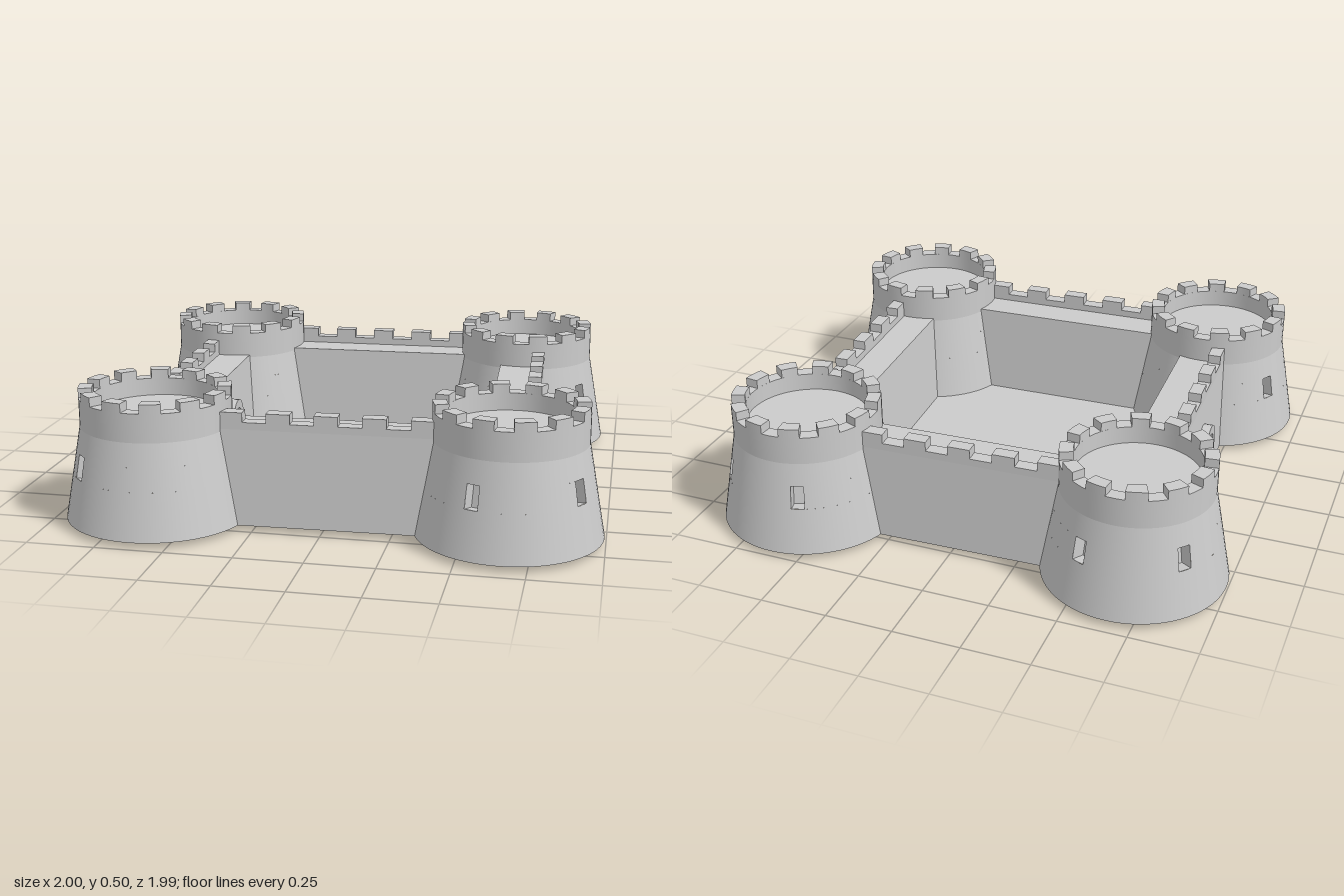
import * as THREE from 'three';

const grey = new THREE.MeshStandardMaterial({ color: 0xcccccc });
const greyDouble = new THREE.MeshStandardMaterial({ color: 0xcccccc, side: THREE.DoubleSide });

const BASE = 0.022, SLOPE_TOP = 0.365;   // heights of the battered tower foot
const R_BASE = 0.338, R_TOP = 0.275, R_IN = 0.225;
const WALL_TOP = 0.375, CURB_TOP = 0.402, MERLON_TOP = 0.437;
const WIN_LOW = 0.195, WIN_HIGH = 0.28, WIN_HALF = 0.08;

const lerp = THREE.MathUtils.lerp;
const towerRadius = (y) => lerp(R_BASE, R_TOP, (y - BASE) / (SLOPE_TOP - BASE));

function add(parent, name, geometry, material = grey) {
  const mesh = new THREE.Mesh(geometry, material);
  mesh.name = name;
  parent.add(mesh);
  return mesh;
}

// One straight profile step swept round the tower axis
function band(r0, y0, r1, y1, start = 0, length = Math.PI * 2) {
  const segments = Math.max(2, Math.ceil(length / (Math.PI * 2) * 72));
  return new THREE.LatheGeometry([new THREE.Vector2(r0, y0), new THREE.Vector2(r1, y1)], segments, start, length);
}

function merlonSector(angle, half, height) {
  const shape = new THREE.Shape();
  shape.absarc(0, 0, R_TOP, angle - half, angle + half, false);
  shape.absarc(0, 0, R_IN, angle + half, angle - half, true);
  return new THREE.ExtrudeGeometry(shape, { depth: height, bevelEnabled: false, curveSegments: 4 }).rotateX(-Math.PI / 2);
}

function makeTower({ x, z, windows }) {
  const tower = new THREE.Group();
  tower.name = 'tower';
  tower.position.set(x, 0, z);
  const rLow = towerRadius(WIN_LOW), rHigh = towerRadius(WIN_HIGH);

  add(tower, 'towerUnderside', band(0, BASE, R_BASE, BASE));
  add(tower, 'towerFoot', band(R_BASE, BASE, rLow, WIN_LOW));
  add(tower, 'towerUpperSlope', band(rHigh, WIN_HIGH, R_TOP, SLOPE_TOP));

  // Sloped wall between the window openings
  const angles = windows.map(([dx, dz]) => Math.atan2(dx, dz)).sort((a, b) => a - b);
  angles.forEach((angle, i) => {
    const next = i + 1 < angles.length ? angles[i + 1] : angles[0] + Math.PI * 2;
    add(tower, 'towerWindowBand', band(rLow, WIN_LOW, rHigh, WIN_HIGH, angle + WIN_HALF, next - angle - 2 * WIN_HALF));

    // Window recess: a box without its front face
    const depth = 0.055, tilt = Math.atan((rLow - rHigh) / (WIN_HIGH - WIN_LOW));
    const pocket = new THREE.BoxGeometry(2 * Math.sin(WIN_HALF) * (rLow + rHigh) / 2, (WIN_HIGH - WIN_LOW) / Math.cos(tilt), depth);
    const index = Array.from(pocket.index.array);
    index.splice(24, 6);
    pocket.setIndex(index);
    pocket.clearGroups();
    pocket.translate(0, 0, -depth / 2).rotateX(-tilt);
    pocket.translate(0, (WIN_LOW + WIN_HIGH) / 2, (rLow + rHigh) / 2 * Math.cos(WIN_HALF)).rotateY(angle);
    add(tower, 'windowRecess', pocket, greyDouble);
  });

  // Parapet ring and sunken platform
  const notch = 0.47, floor = 0.405;
  add(tower, 'parapetOutside', band(R_TOP, SLOPE_TOP, R_TOP, notch));
  add(tower, 'parapetTop', band(R_TOP, notch, R_IN, notch));
  add(tower, 'parapetInside', band(R_IN, notch, R_IN, floor));
  add(tower, 'towerPlatform', band(R_IN, floor, 0, floor));
  for (let i = 0; i < 12; i++) {
    const merlon = add(tower, 'towerMerlon', merlonSector((i + 0.5) * Math.PI / 6, 0.14, 0.503 - notch));
    merlon.position.y = notch;
  }
  return tower;
}

// Arched outline, walked from the right foot over the top to the left foot
function archPoints(half, top) {
  const points = [new THREE.Vector2(half, BASE)];
  for (let i = 0; i <= 12; i++) {
    const a = i / 12 * Math.PI;
    points.push(new THREE.Vector2(half * Math.cos(a), top - half + half * Math.sin(a)));
  }
  points.push(new THREE.Vector2(-half, BASE));
  return points;
}

// Wall with battered faces; local +z points outwards
function makeWall(p, q, hasGate) {
  const wall = new THREE.Group();
  wall.name = hasGate ? 'gateWall' : 'curtainWall';
  wall.position.set((p.x + q.x) / 2, 0, (p.z + q.z) / 2);
  wall.rotation.y = Math.atan2(p.z - q.z, q.x - p.x);
  const length = Math.hypot(q.x - p.x, q.z - p.z);
  const half = length / 2 - 0.2;

  const outline = [
    new THREE.Vector2(half, BASE), new THREE.Vector2(half, WALL_TOP),
    new THREE.Vector2(-half, WALL_TOP), new THREE.Vector2(-half, BASE),
  ];
  if (hasGate) outline.push(...archPoints(0.06, 0.25).reverse());
  const body = new THREE.ExtrudeGeometry(new THREE.Shape(outline), { depth: 1, bevelEnabled: false });
  const pos = body.attributes.position;
  for (let i = 0; i < pos.count; i++) {
    const t = (pos.getY(i) - BASE) / (WALL_TOP - BASE);
    pos.setZ(i, pos.getZ(i) > 0.5 ? lerp(0.104, 0.086, t) : lerp(-0.125, -0.095, t));
  }
  body.computeVertexNormals();
  add(wall, 'wallBody', body);

  // Low curb and merlons along the outer edge
  const span = length - 0.51, thick = 0.05;
  const curb = add(wall, 'wallCurb', new THREE.BoxGeometry(span, CURB_TOP - WALL_TOP, thick));
  curb.position.set(0, (CURB_TOP + WALL_TOP) / 2, 0.086 - thick / 2);
  const count = 5, width = span / (2 * count - 1);
  for (let i = 0; i < count; i++) {
    const merlon = add(wall, 'wallMerlon', new THREE.BoxGeometry(width, MERLON_TOP - CURB_TOP, thick));
    merlon.position.set((2 * i + 1 - count) * width, (MERLON_TOP + CURB_TOP) / 2, 0.086 - thick / 2);
  }

  // Arched stone frame lining the gateway
  if (hasGate) {
    const frame = new THREE.Shape([...archPoints(0.082, 0.28), ...archPoints(0.054, 0.245).reverse()]);
    const arch = add(wall, 'gateArch', new THREE.ExtrudeGeometry(frame, { depth: 0.265, bevelEnabled: false }));
    arch.position.z = -0.14;
  }
  return wall;
}

export function createModel() {
  const fort = new THREE.Group();
  fort.name = 'fort';

  // Tower centres, in order round the court, with window directions (x, z)
  const towers = [
    { x: -0.625, z: 0.65, windows: [[-48, -27], [-43, 39]] },
    { x: 0.657, z: 0.617, windows: [[55, -18], [52, 32], [-19, 53]] },
    { x: 0.602, z: -0.662, windows: [[46, 31], [44, -33], [-18, -53]] },
    { x: -0.662, z: -0.628, windows: [[22, -51], [-42, -36], [-49, 29]] },
  ];
  towers.forEach((tower, i) => {
    fort.add(makeTower(tower));
    fort.add(makeWall(tower, towers[(i + 1) % 4], i === 3));
  });

  // Courtyard slab
  const court = add(fort, 'courtyardFloor', new THREE.BoxGeometry(1.26, 0.022, 1.26));
  court.position.y = 0.015;
  court.rotation.set(0.003, 0.028, 0.003);
  return fort;
}
